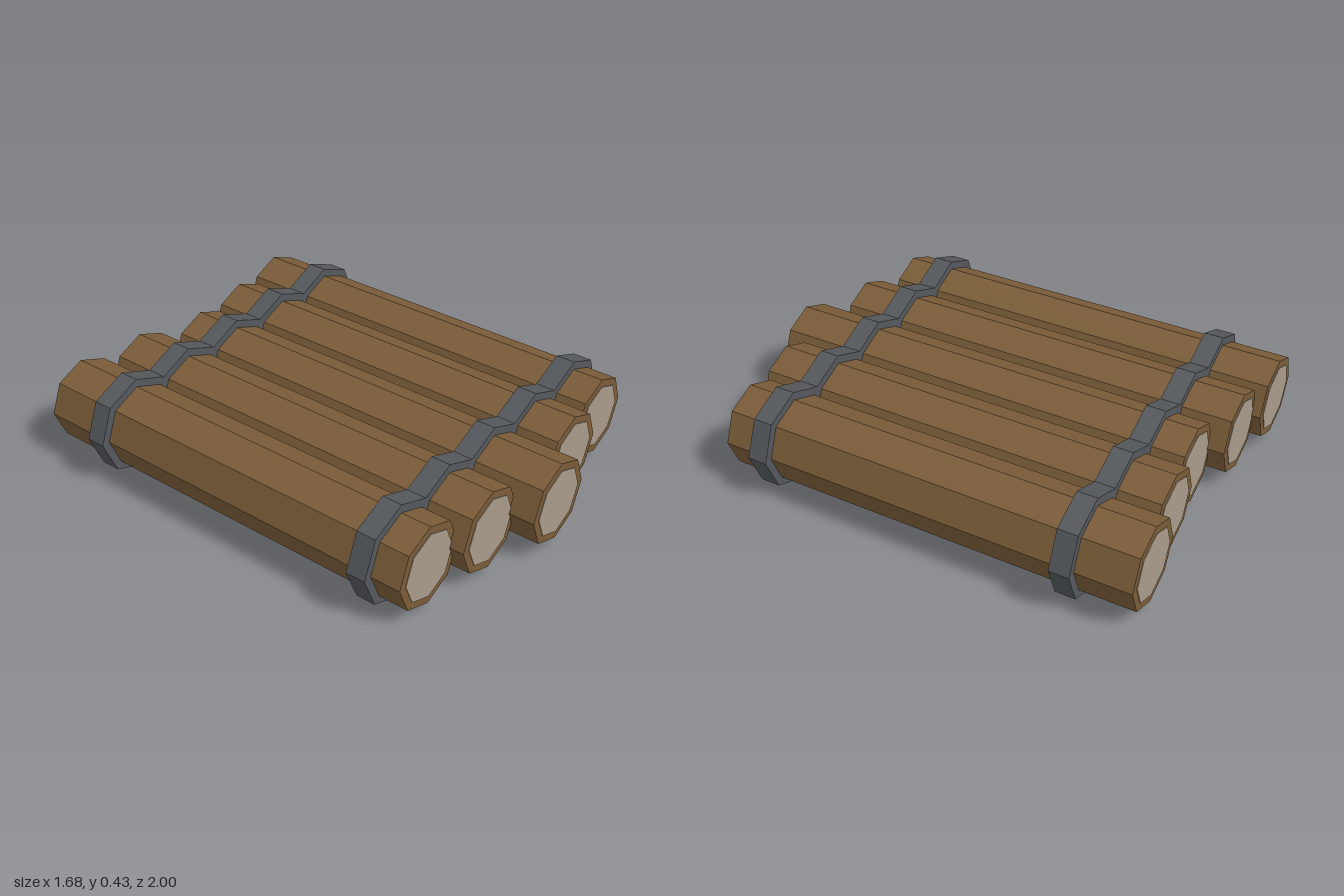
import * as THREE from 'three';

const SPACING = 0.306, AXIS_Y = 0.219;
const LOG_R = 0.18, CAP_R = 0.146, BAND_R = 0.216, BAND_W = 0.085;

const mat = (color) => new THREE.MeshStandardMaterial({ color, flatShading: true });

// Eight-sided prism lying along z with a corner pointing straight up
function prism(radius, z0, z1, material, name) {
  const geo = new THREE.CylinderGeometry(radius, radius, z1 - z0, 8).rotateX(Math.PI / 2);
  const mesh = new THREE.Mesh(geo, material);
  mesh.name = name;
  mesh.position.z = (z0 + z1) / 2;
  return mesh;
}

// Scalloped outline that wraps all five logs
function bandShape() {
  const d = BAND_R * Math.SQRT1_2, end = 2 * SPACING;
  const top = [];
  for (let i = 2; i >= -2; i--) {
    top.push([i * SPACING + d, d], [i * SPACING, BAND_R]);
  }
  top.push([-end - d, d]);
  const bottom = top.map(([x, y]) => [x, -y]).reverse();
  const outline = [[end + BAND_R, 0], ...top, [-end - BAND_R, 0], ...bottom];
  return new THREE.Shape(outline.map(([x, y]) => new THREE.Vector2(x, y)));
}

export function createModel() {
  const model = new THREE.Group();
  model.name = 'logRaft';
  const raft = new THREE.Group();
  raft.name = 'raft';
  raft.position.y = AXIS_Y;
  raft.rotation.y = 0.015;
  model.add(raft);

  const bark = mat(0x7a5c38), cutWood = mat(0xa89a8a), strap = mat(0x54585c);

  // Logs with staggered ends: [back z, front z]
  const ends = [[-1.003, 0.816], [-0.962, 0.88], [-0.887, 0.992], [-0.927, 0.873], [-0.979, 0.824]];
  ends.forEach(([back, front], i) => {
    const log = new THREE.Group();
    log.name = `log${i + 1}`;
    log.position.x = (i - 2) * SPACING;
    log.add(
      prism(LOG_R, back, front, bark, 'bark'),
      prism(CAP_R, front - 0.01, front + 0.003, cutWood, 'frontCutEnd'),
      prism(CAP_R, back - 0.003, back + 0.01, cutWood, 'backCutEnd'),
    );
    raft.add(log);
  });

  // Two straps binding the logs
  const bandGeo = new THREE.ExtrudeGeometry(bandShape(), { depth: BAND_W, bevelEnabled: false });
  bandGeo.translate(0, 0, -BAND_W / 2);
  for (const [name, z] of [['frontStrap', 0.645], ['backStrap', -0.705]]) {
    const band = new THREE.Mesh(bandGeo, strap);
    band.name = name;
    band.position.z = z;
    raft.add(band);
  }
  return model;
}
